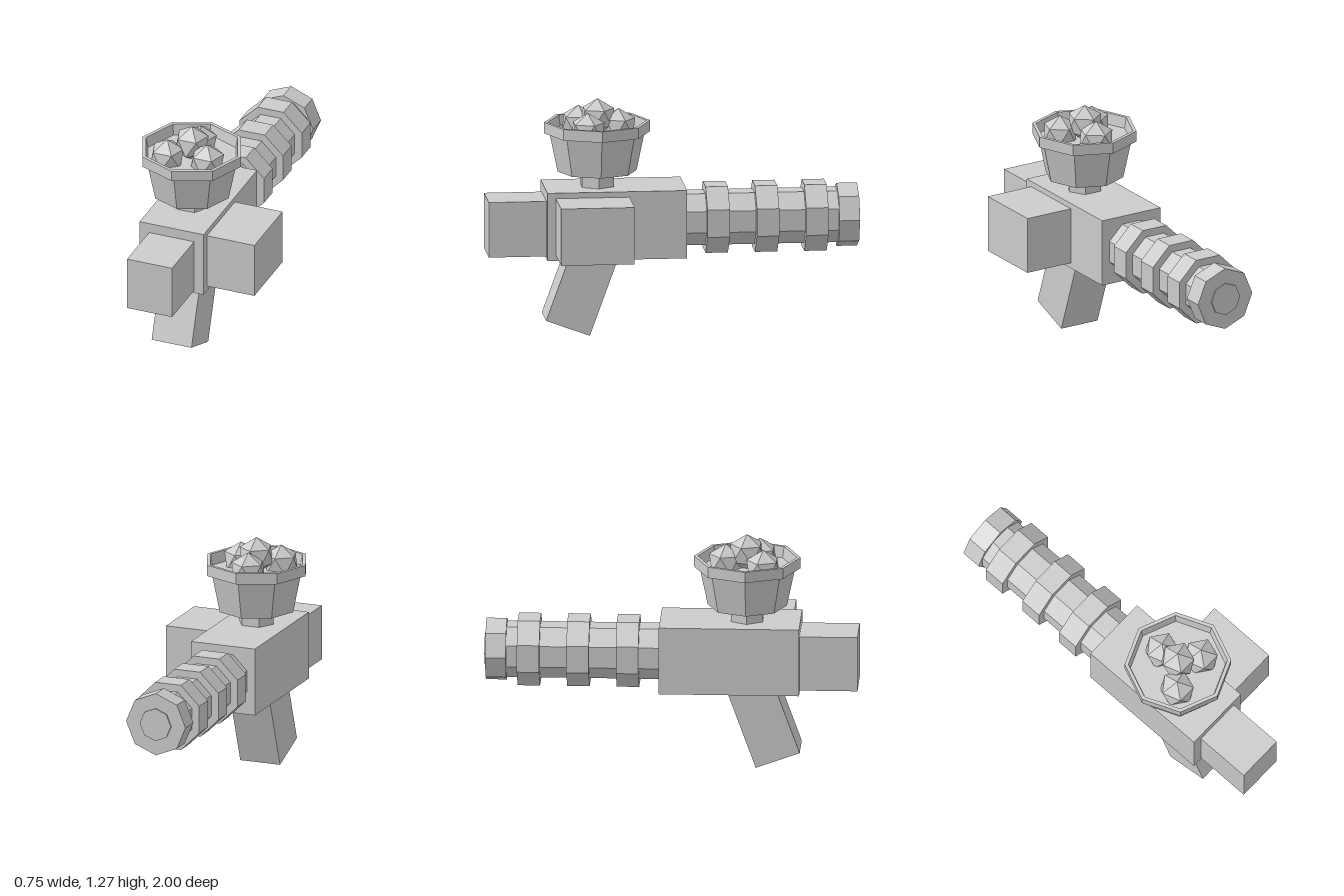
import * as THREE from 'three';

const AXIS_X = -0.09;   // shared centre line of body, barrel and bowl
const BARREL_Y = 0.615;
const BOWL_Z = 0.405;

export function createModel() {
  const model = new THREE.Group();
  model.name = 'model';
  const grey = new THREE.MeshStandardMaterial({ color: 0xcccccc });
  grey.name = 'light grey';

  // Adds a flat-faced mesh
  function add(name, geometry, x, y, z) {
    const flat = geometry.index ? geometry.toNonIndexed() : geometry;
    flat.computeVertexNormals();
    const mesh = new THREE.Mesh(flat, grey);
    mesh.name = name;
    mesh.position.set(x, y, z);
    model.add(mesh);
    return mesh;
  }

  // Box given by its limits on each axis
  function box(name, x0, x1, y0, y1, z0, z1) {
    return add(name, new THREE.BoxGeometry(x1 - x0, y1 - y0, z1 - z0),
      (x0 + x1) / 2, (y0 + y1) / 2, (z0 + z1) / 2);
  }

  // Octagonal section of the barrel, lying along z
  function barrelPart(name, radius, z0, z1, turn) {
    const g = new THREE.CylinderGeometry(radius, radius, z1 - z0, 8);
    g.rotateY(turn).rotateX(Math.PI / 2);
    return add(name, g, AXIS_X, BARREL_Y, (z0 + z1) / 2);
  }

  // Body and boxes
  box('body', -0.275, 0.095, 0.43, 0.8, -0.06, 0.69);
  box('frontBlock', -0.22, 0.04, 0.445, 0.745, 0.68, 1);
  box('sideBlock', 0.08, 0.37, 0.46, 0.77, 0.25, 0.645);

  // Slanted handle, its lower end swung forward
  const tilt = THREE.MathUtils.degToRad(20);
  const handleLength = 0.52;
  const handle = add('handle', new THREE.BoxGeometry(0.23, handleLength, 0.25), AXIS_X,
    0.047 + Math.cos(tilt) * handleLength / 2,
    0.573 - Math.sin(tilt) * handleLength / 2);
  handle.rotation.x = -tilt;

  // Barrel with three rings and an end cap
  barrelPart('barrel', 0.151, -0.9, -0.04, Math.PI / 8);
  for (const z of [-0.23, -0.495, -0.76]) {
    barrelPart('barrelRing', 0.195, z - 0.06, z + 0.06, Math.PI / 8);
  }
  barrelPart('barrelCap', 0.172, -0.99, -0.88, 0);
  barrelPart('capPlate', 0.09, -0.998, -0.985, 0);

  // Neck and bowl
  const neck = new THREE.CylinderGeometry(0.098, 0.098, 0.12, 6).rotateY(Math.PI / 6);
  add('neck', neck, AXIS_X, 0.84, BOWL_Z);
  add('bowl', new THREE.CylinderGeometry(0.256, 0.212, 0.21, 8), AXIS_X, 0.985, BOWL_Z);
  const rimProfile = [[0.254, 0], [0.285, 0], [0.285, 0.06], [0.265, 0.06], [0.254, 0]]
    .map(([r, y]) => new THREE.Vector2(r, y));
  add('bowlRim', new THREE.LatheGeometry(rimProfile, 8), AXIS_X, 1.09, BOWL_Z);

  // Faceted balls in the bowl, each with a corner pointing up
  const balls = [[-0.09, 1.175, 0.403], [-0.195, 1.12, 0.495], [0.025, 1.12, 0.467], [-0.09, 1.12, 0.29]];
  for (const [x, y, z] of balls) {
    const g = new THREE.IcosahedronGeometry(0.1, 0);
    g.rotateZ(Math.atan(2 / (1 + Math.sqrt(5)))).rotateY(-Math.PI / 2);
    add('ball', g, x, y, z);
  }

  return model;
}
